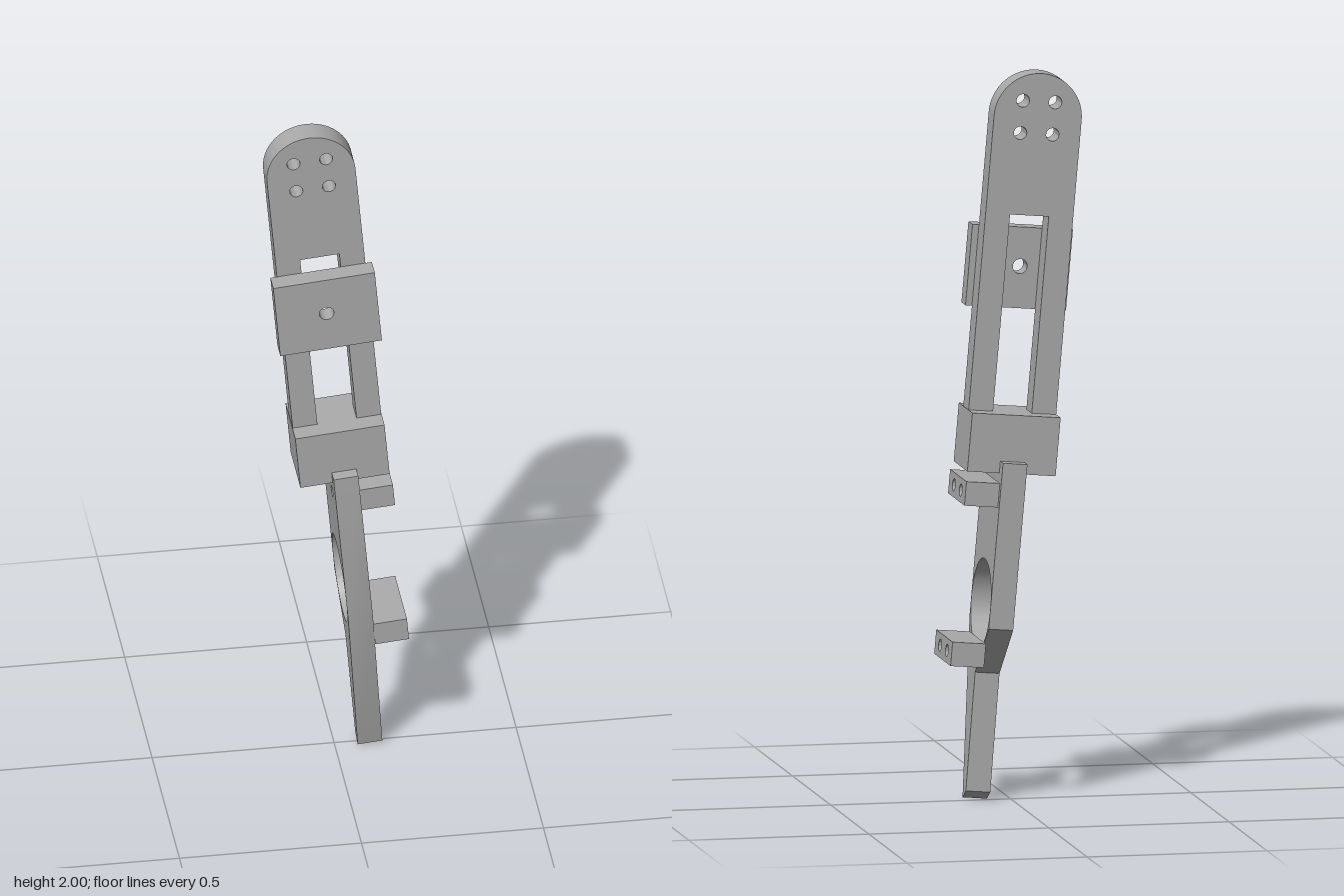
import * as THREE from 'three';
import { toCreasedNormals } from 'three/addons/utils/BufferGeometryUtils.js';

const metal = new THREE.MeshStandardMaterial({ color: 0xaaaaaa });
metal.name = 'plain grey metal';

function outline(points) {
  return new THREE.Shape(points.map(([x, y]) => new THREE.Vector2(x, y)));
}

function rect(x0, x1, y0, y1) {
  return outline([[x0, y0], [x1, y0], [x1, y1], [x0, y1]]);
}

function addHole(shape, x, y, r) {
  shape.holes.push(new THREE.Path().absarc(x, y, r, 0, Math.PI * 2, true));
}

// Extrude a shape between two depths, keeping flat edges sharp and holes smooth
function slab(name, shape, from, to) {
  const raw = new THREE.ExtrudeGeometry(shape, { depth: to - from, bevelEnabled: false, curveSegments: 40 });
  raw.translate(0, 0, from);
  const mesh = new THREE.Mesh(toCreasedNormals(raw, 0.5), metal);
  mesh.name = name;
  return mesh;
}

// Same, but the drawing lies in the side plane (shape x = -z) and depth runs along x
function sideSlab(name, shape, from, to) {
  const mesh = slab(name, shape, from, to);
  mesh.geometry.rotateY(Math.PI / 2);
  return mesh;
}

export function createModel() {
  const model = new THREE.Group();
  model.name = 'linkage arm';
  const cx = 0.096;

  // Round-topped arm, forked by a long slot
  const arm = new THREE.Shape();
  arm.moveTo(cx + 0.122, 1.05);
  arm.lineTo(cx + 0.122, 1.877);
  arm.absarc(cx, 1.877, 0.122, 0, Math.PI, false);
  arm.lineTo(cx - 0.122, 1.05);
  arm.lineTo(cx - 0.054, 1.05);
  arm.lineTo(cx - 0.054, 1.608);
  arm.lineTo(cx + 0.054, 1.608);
  arm.lineTo(cx + 0.054, 1.05);
  for (const dx of [-0.045, 0.045]) {
    for (const y of [1.833, 1.922]) addHole(arm, cx + dx, y, 0.018);
  }
  model.add(slab('slotted arm', arm, -0.035, 0.035));

  // Sliding plate on the front of the arm
  const slider = rect(cx - 0.14, cx + 0.14, 1.342, 1.565);
  addHole(slider, cx - 0.002, 1.457, 0.02);
  model.add(slab('sliding plate', slider, 0.035, 0.088));

  // Solid block joining arm and lower plate
  model.add(slab('joining block', rect(cx - 0.123, cx + 0.123, 0.905, 1.066), -0.089, 0.089));

  // Lower plate with large round opening, tapering to an off-centre blade
  const plate = outline([
    [-0.125, 0.938], [-0.125, 0.481], [-0.018, -0.005], [0.016, 0.018],
    [0.003, 0.343], [0.125, 0.481], [0.125, 0.938],
  ]);
  addHole(plate, 0, 0.534, 0.122);
  for (const z of [-0.045, 0.045]) addHole(plate, z, 0.8465, 0.017);
  model.add(sideSlab('lower plate and blade', plate, 0.062, 0.13));

  // Two drilled lugs on the side of the lower plate
  for (const [name, y] of [['upper lug', 0.8465], ['lower lug', 0.4045]]) {
    const lug = rect(-0.107, 0.107, y - 0.033, y + 0.033);
    for (const z of [-0.045, 0.045]) addHole(lug, z, y, 0.017);
    model.add(sideSlab(name, lug, 0.13, 0.223));
  }

  // The whole arm leans slightly
  model.rotation.z = THREE.MathUtils.degToRad(5);
  const root = new THREE.Group();
  root.name = 'model';
  root.add(model);
  return root;
}
